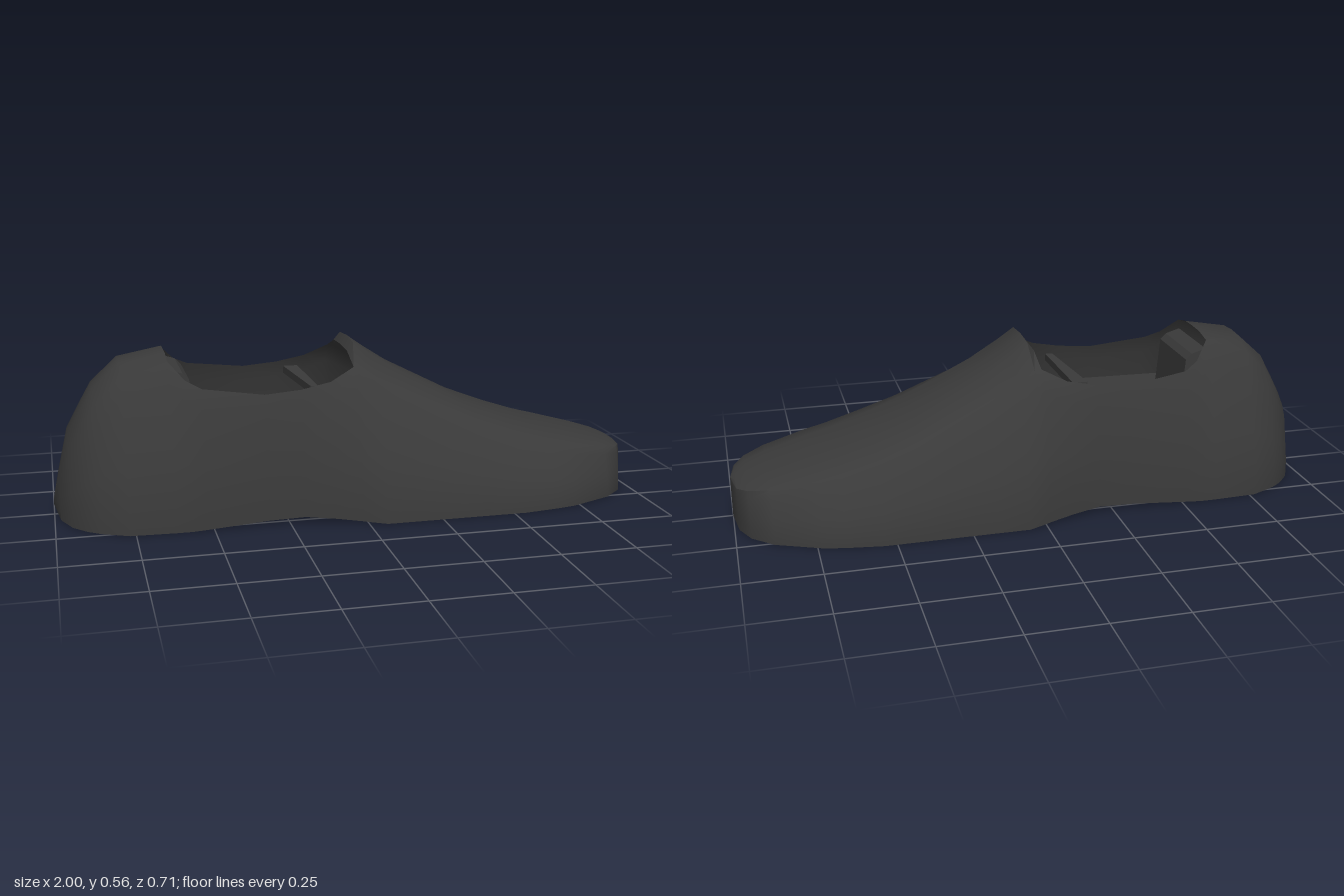
import * as THREE from 'three';
import { toCreasedNormals } from 'three/addons/utils/BufferGeometryUtils.js';

const material = new THREE.MeshStandardMaterial({ color: 0x3a3a3a, side: THREE.DoubleSide });

// Cross-sections from heel to toe:
// x, half width of sole, sole height, half width of collar, collar height, crown height
const SECTIONS = [
  [-1.0, 0, 0.035, 0, 0.05, 0.055],
  [-0.98, 0.085, 0.005, 0.05, 0.125, 0.145],
  [-0.945, 0.155, 0, 0.09, 0.25, 0.29],
  [-0.9, 0.205, 0, 0.11, 0.33, 0.37],
  [-0.86, 0.235, 0, 0.12, 0.39, 0.44],
  [-0.77, 0.278, 0, 0.13, 0.48, 0.52],
  [-0.62, 0.285, 0, 0.13, 0.53, 0.545],
  [-0.57, 0.285, 0, 0.18, 0.475, 0.5],
  [-0.52, 0.285, 0.003, 0.205, 0.45, 0.46],
  [-0.32, 0.28, 0.016, 0.225, 0.425, 0.43],
  [-0.2, 0.283, 0.02, 0.225, 0.435, 0.44],
  [-0.1, 0.308, 0.014, 0.22, 0.455, 0.46],
  [-0.018, 0.332, 0.007, 0.195, 0.495, 0.535],
  [0.004, 0.34, 0.005, 0.193, 0.49, 0.565],
  [0.06, 0.357, 0, 0.2, 0.455, 0.525],
  [0.16, 0.357, 0, 0.21, 0.405, 0.46],
  [0.4, 0.357, 0, 0.24, 0.295, 0.335],
  [0.54, 0.357, 0, 0.25, 0.245, 0.28],
  [0.66, 0.34, 0, 0.245, 0.21, 0.24],
  [0.73, 0.325, 0, 0.24, 0.195, 0.222],
  [0.88, 0.26, 0, 0.2, 0.165, 0.183],
  [0.95, 0.195, 0, 0.155, 0.15, 0.163],
  [0.985, 0.12, 0, 0.1, 0.14, 0.15],
  [1.0, 0, 0, 0, 0.14, 0.14],
];
// Side wall: share of height, share of the taper from sole to collar
const WALL = [[0, 0], [0.24, 0.04], [0.45, 0.25], [0.86, 0.66], [1, 1]];
const OPEN_START = -0.62, OPEN_END = -0.018;

// Closed ring: one wall down, across the sole, the other wall up, over the crown
function ring([x, w, base, rimZ, rimY, crown]) {
  const wall = WALL.map(([h, t]) => [base + (rimY - base) * h, w + (rimZ - w) * t]);
  const mid = rimY + (crown - rimY) * 0.9;
  return [
    ...[...wall].reverse().map(([y, z]) => [x, y, -z]),
    ...wall.map(([y, z]) => [x, y, z]),
    [x, mid, rimZ * 0.5], [x, crown, 0], [x, mid, -rimZ * 0.5],
  ];
}

// Loft through the rings, leaving out the crown where the foot goes in
function upperGeometry() {
  const rings = SECTIONS.map(ring);
  const positions = [];
  for (let i = 0; i < rings.length - 1; i++) {
    const n = rings[i].length;
    const open = SECTIONS[i][0] >= OPEN_START && SECTIONS[i + 1][0] <= OPEN_END;
    for (let j = 0; j < n; j++) {
      if (open && j >= 2 * WALL.length - 1) continue;
      const k = (j + 1) % n;
      const a = rings[i][j], b = rings[i + 1][j], c = rings[i + 1][k], d = rings[i][k];
      positions.push(...a, ...b, ...c, ...a, ...c, ...d);
    }
  }
  const geometry = new THREE.BufferGeometry();
  geometry.setAttribute('position', new THREE.Float32BufferAttribute(positions, 3));
  return toCreasedNormals(geometry, 0.7);
}

// Straight extrusion of a polygon
function extrude(points, depth) {
  const shape = new THREE.Shape(points.map(([x, y]) => new THREE.Vector2(x, y)));
  return new THREE.ExtrudeGeometry(shape, { depth, bevelEnabled: false });
}

export function createModel() {
  const shoe = new THREE.Group();
  shoe.name = 'shoe';
  const add = (name, geometry, x = 0, y = 0, z = 0) => {
    const mesh = new THREE.Mesh(geometry, material);
    mesh.name = name;
    mesh.position.set(x, y, z);
    shoe.add(mesh);
    return mesh;
  };

  add('upperAndSole', upperGeometry());

  // Flat plate following the inside of the walls
  const half = [[-0.88, 0.08], [-0.77, 0.185], [-0.55, 0.225], [-0.2, 0.24], [0, 0.26], [0.25, 0.22]];
  const outline = [...half, ...[...half].reverse().map(([x, z]) => [x, -z])];
  add('insole', extrude(outline, 0.01).rotateX(-Math.PI / 2), 0, 0.29, 0);

  // Padded tab leaning inward from the heel collar
  const tab = [[-0.62, 0.5], [-0.615, 0.46], [-0.57, 0.3], [-0.535, 0.3], [-0.55, 0.465], [-0.57, 0.485]];
  add('heelTab', extrude(tab, 0.25), 0, 0, -0.13);

  // Thin tapered strip across the inside, under the tongue
  const strip = [[-0.185, 0.17], [-0.135, 0.17], [-0.13, -0.16], [-0.155, -0.16]];
  add('tongueStrip', extrude(strip, 0.025).rotateX(-Math.PI / 2), 0, 0.405, 0);

  return shoe;
}
